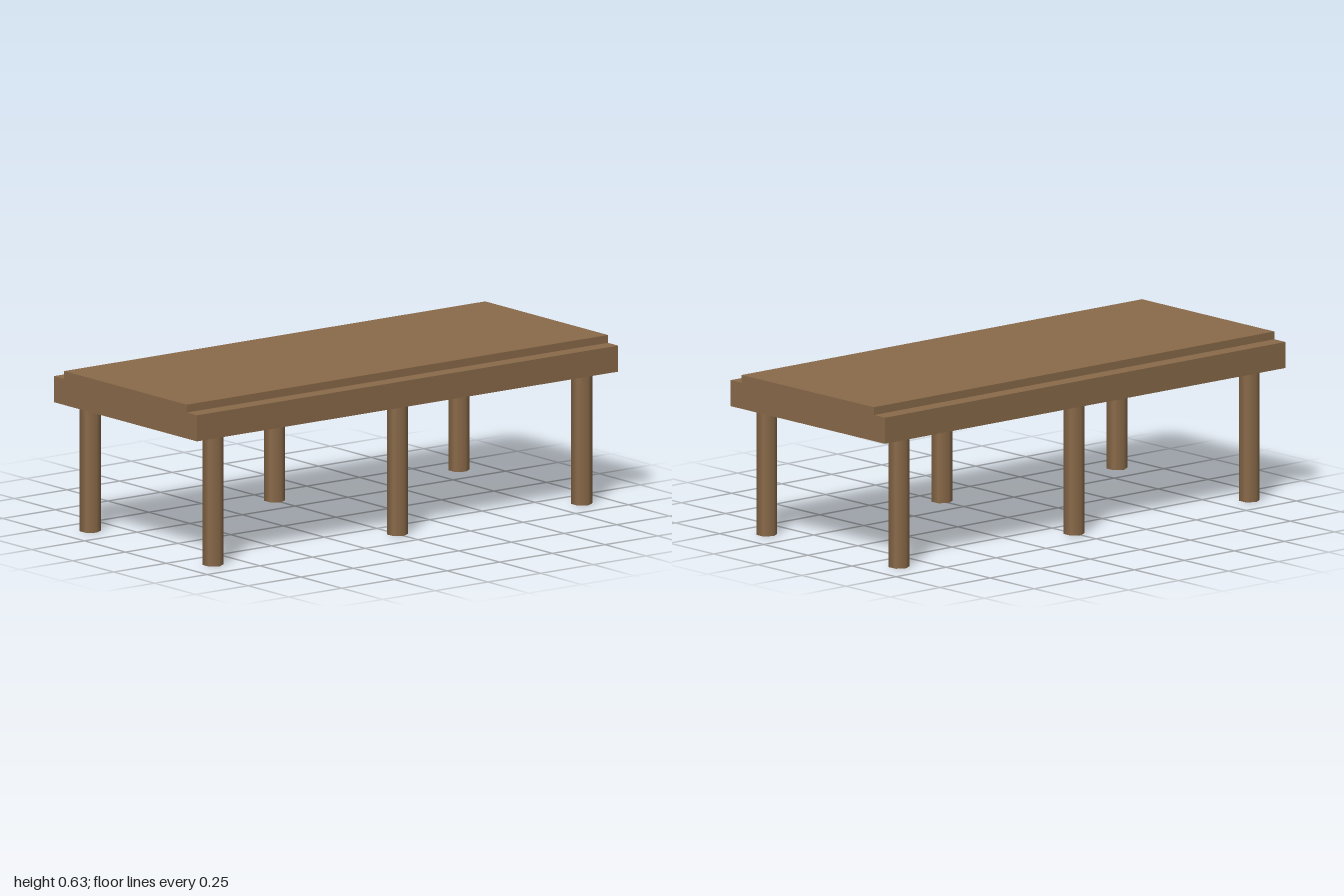
import * as THREE from 'three';

export function createModel() {
  const model = new THREE.Group();
  model.name = 'table';
  const wood = new THREE.MeshStandardMaterial({ color: 0x8b6b4a });
  wood.name = 'brown wood';

  const add = (name, geometry, x, y, z) => {
    const mesh = new THREE.Mesh(geometry, wood);
    mesh.name = name;
    mesh.position.set(x, y, z);
    model.add(mesh);
  };

  // Thick deck with a narrower raised board along its full length
  add('deck', new THREE.BoxGeometry(0.875, 0.1, 2), 0, 0.55, 0);
  add('raisedTop', new THREE.BoxGeometry(0.75, 0.03, 2), 0, 0.615, 0);

  // Three pairs of smooth-shaded six-sided legs, corners pointing sideways
  const leg = new THREE.CylinderGeometry(0.04, 0.04, 0.5, 6).rotateY(Math.PI / 2);
  const rows = { front: 0.875, middle: 0, back: -0.875 };
  for (const [row, z] of Object.entries(rows)) {
    add(row + 'LeftLeg', leg, 0.375, 0.25, z);
    add(row + 'RightLeg', leg, -0.375, 0.25, z);
  }
  return model;
}
